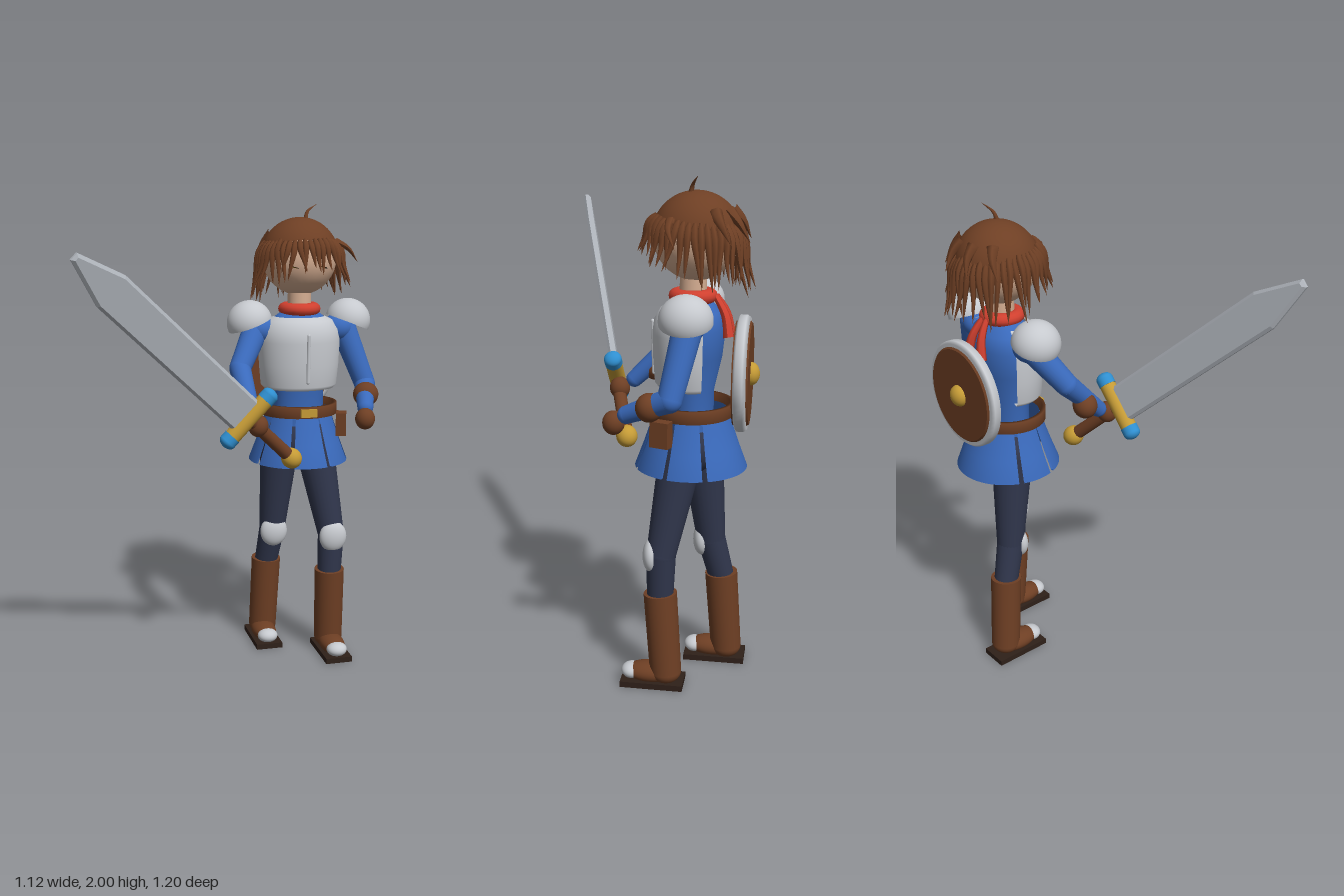
import * as THREE from 'three';

const paint = (name, color, side = THREE.FrontSide) => {
  const m = new THREE.MeshStandardMaterial({ color, side });
  m.name = name;
  return m;
};
const V = (x, y, z) => new THREE.Vector3(x, y, z);
const rad = THREE.MathUtils.degToRad;

export function createModel() {
  const DS = THREE.DoubleSide;
  const brown = paint('leatherBrown', 0x6e3f24), skin = paint('skin', 0xd6ae92);
  const blue = paint('tunicBlue', 0x3a6abc, DS), navy = paint('trouserNavy', 0x30364c);
  const silver = paint('silver', 0xc6c9ce, DS), steel = paint('bladeSteel', 0xb0b5bc);
  const gold = paint('gold', 0xc59b36), red = paint('scarfRed', 0xd0402f);
  const gem = paint('gemBlue', 0x2f8fd0), dark = paint('soleDark', 0x2e2019);

  const model = new THREE.Group();
  const YAW = 0.33; // the figure is turned slightly to its left

  const add = (parent, name, geo, mat, pos = [0, 0, 0], scale = [1, 1, 1], rot = [0, 0, 0]) => {
    const m = new THREE.Mesh(geo, mat);
    m.name = name;
    m.position.set(...pos);
    m.scale.set(...scale);
    m.rotation.set(...rot);
    parent.add(m);
    return m;
  };
  const group = (name, pos = [0, 0, 0], yaw = 0) => {
    const g = new THREE.Group();
    g.name = name;
    g.position.set(...pos);
    g.rotation.y = yaw;
    model.add(g);
    return g;
  };
  const ball = (parent, name, mat, pos, r, rot) =>
    add(parent, name, new THREE.SphereGeometry(1, 28, 18), mat, pos, Array.isArray(r) ? r : [r, r, r], rot);
  // tapered segment between two points
  const limb = (parent, name, mat, a, b, ra, rb) => {
    const A = V(...a), B = V(...b), d = B.clone().sub(A);
    const m = add(parent, name, new THREE.CylinderGeometry(rb, ra, d.length(), 24), mat, A.clone().lerp(B, 0.5).toArray());
    m.quaternion.setFromUnitVectors(V(0, 1, 0), d.normalize());
    return m;
  };
  // tube along a curve, with its radius shaped by a rule
  const taper = (points, r, rule, seg = 8, sides = 6) => {
    const curve = new THREE.CatmullRomCurve3(points);
    const geo = new THREE.TubeGeometry(curve, seg, r, sides);
    const p = geo.attributes.position, v = V(0, 0, 0);
    for (let i = 0; i < p.count; i++) {
      const t = Math.floor(i / (sides + 1)) / seg, c = curve.getPointAt(t);
      v.fromBufferAttribute(p, i).sub(c).multiplyScalar(rule(t)).add(c);
      p.setXYZ(i, v.x, v.y, v.z);
    }
    geo.computeVertexNormals();
    return geo;
  };
  const lathe = (pts, from = 0, to = 360, seg = 40) =>
    new THREE.LatheGeometry(pts.map(p => new THREE.Vector2(...p)), seg, rad(from), rad(to - from));

  // torso, neck and breastplate
  const body = group('torso', [0.205, 0, -0.325], YAW);
  add(body, 'tunic', lathe([[0.11, 1.05], [0.112, 1.2], [0.15, 1.33], [0.165, 1.44], [0.14, 1.5], [0.08, 1.545], [0.04, 1.56]]), blue, [0, 0, 0], [1, 1, 0.76]);
  add(body, 'breastplate', lathe([[0.12, 1.212], [0.155, 1.215], [0.168, 1.23], [0.176, 1.32], [0.18, 1.42], [0.172, 1.47], [0.145, 1.51], [0.11, 1.525]], -112, 112), silver, [0, 0, 0], [1, 1, 0.84]);
  add(body, 'breastplateRidge', new THREE.CapsuleGeometry(0.008, 0.2, 4, 10), silver, [0, 1.355, 0.149], [1, 1, 1], [0.03, 0, 0]);
  add(body, 'neck', new THREE.CylinderGeometry(0.05, 0.052, 0.14, 24), skin, [0, 1.58, 0]);
  add(body, 'scarf', new THREE.TorusGeometry(0.062, 0.03, 14, 32), red, [0, 1.557, 0], [1, 1, 0.9], [Math.PI / 2, 0, 0]);
  for (const s of [-1, 1]) {
    add(body, 'scarfTail', taper([V(s * 0.012, 1.56, -0.085), V(s * 0.03, 1.49, -0.125), V(s * 0.045, 1.41, -0.14)], 0.02, t => 0.6 + 0.5 * t), red);
    ball(body, 'shoulder', blue, [s * 0.175, 1.47, 0], [0.07, 0.06, 0.065]);
    // half dome shoulder guard, tipped outward
    add(body, 'shoulderGuard', new THREE.SphereGeometry(0.1, 32, 14, 0, Math.PI * 2, 0, Math.PI * 0.53), silver,
      [s * 0.222, 1.502, 0], [0.98, 0.95, 1], [0, 0, -s * 0.36]);
  }

  // belt and split skirt
  const waist = [[0.155, 1.1], [0.17, 1.1], [0.17, 1.15], [0.155, 1.15], [0.155, 1.1]];
  add(body, 'belt', lathe(waist), brown, [0, 0, 0], [1, 1, 0.95]);
  add(body, 'buckle', new THREE.BoxGeometry(0.07, 0.035, 0.02), gold, [0, 1.125, 0.162]);
  for (const [mid, half] of [[0, 20], [46, 20], [-46, 20], [90, 18], [-90, 18], [180, 66]]) {
    add(body, 'skirtPanel', lathe([[0.14, 1.12], [0.158, 1.06], [0.185, 0.98], [0.218, 0.892], [0.208, 0.892], [0.175, 0.98], [0.135, 1.1]],
      mid - half, mid + half, Math.ceil(half / 3)), blue);
  }
  ball(body, 'hips', navy, [0, 0.98, 0], [0.135, 0.12, 0.105]);
  add(model, 'beltPouch', new THREE.BoxGeometry(0.045, 0.1, 0.075), brown, [0.395, 1.06, -0.29]);

  // head, eyes and hair
  const head = group('head', [0.203, 1.775, -0.335], YAW);
  ball(head, 'face', skin, [0, 0, 0], 0.16);
  for (const s of [-1, 1]) {
    for (const [r, mat, d] of [[0.02, dark, 0.16], [0.012, gold, 0.1615]]) {
      const eye = add(head, 'eye', new THREE.CircleGeometry(r, 20), mat, [0, 0, 0], [0.85, 1.2, 1]);
      eye.position.set(Math.sin(s * 0.4) * 0.975, -0.22, Math.cos(0.4) * 0.975).multiplyScalar(d);
      eye.lookAt(eye.position.clone().multiplyScalar(2));
    }
  }
  add(head, 'hairCap', new THREE.SphereGeometry(0.169, 40, 20, 0, Math.PI * 2, 0, rad(86)), brown, [0, 0, 0], [1, 1, 1], [rad(-24), 0, 0]);
  let seed = 7;
  const rnd = () => (seed = (seed * 16807) % 2147483647) / 2147483647;
  const count = 46;
  for (let i = 0; i < count; i++) {
    const a = (i / count) * Math.PI * 2, back = (1 - Math.cos(a)) / 2;
    const top = 0.075 - 0.03 * back + 0.012 * rnd();
    const drop = 0.1 + 0.13 * Math.sqrt(back) * (0.75 + 0.35 * rnd()) + 0.035 * rnd();
    const flare = 0.195 + 0.03 * rnd(), b = a + (rnd() - 0.5) * 0.3;
    const at = (ang, r, y) => V(Math.sin(ang) * r, y, Math.cos(ang) * r);
    add(head, 'hairLock', taper([at(a, 0.15, top), at(a, 0.18, top - drop * 0.25), at((a + b) / 2, 0.192, top - drop * 0.6), at(b, flare, top - drop)],
      0.017, t => Math.min(1, 0.5 + 3 * t) * Math.pow(1 - t, 0.7) + 0.01), brown);
  }
  for (const a of [2.2, 2.75, 3.4, 4.0]) {
    const at = (r, y, k = 0) => V(Math.sin(a + k) * r, y, Math.cos(a + k) * r);
    add(head, 'hairTuft', taper([at(0.13, 0.1), at(0.172, 0.06), at(0.21, -0.01, 0.1)], 0.026, t => 1.02 - t), brown);
  }
  add(head, 'sideLock', taper([V(0.13, 0.07, 0.08), V(0.19, 0.04, 0.08), V(0.245, -0.02, 0.05)], 0.018, t => 1.02 - t), brown);
  add(model, 'crownLock', taper([V(0.228, 1.925, -0.32), V(0.233, 1.965, -0.332), V(0.272, 1.998, -0.37)], 0.011, t => 1.02 - t), brown);

  // arms: shoulder, elbow, cuff, wrist, fist
  const arms = [
    ['right', [0.02, 1.47, -0.26], [-0.035, 1.32, -0.14], [-0.015, 1.205, -0.055], [0.03, 1.155, 0.02], [0.06, 1.118, 0.072]],
    ['left', [0.395, 1.47, -0.395], [0.495, 1.225, -0.375], [0.5, 1.19, -0.295], [0.498, 1.15, -0.2], [0.497, 1.112, -0.145]],
  ];
  for (const [side, sh, el, cuff, wr, fist] of arms) {
    const g = group(side + 'Arm');
    ball(g, 'shoulderJoint', blue, sh, 0.056);
    limb(g, 'upperArm', blue, sh, el, 0.056, 0.046);
    ball(g, 'elbow', blue, el, 0.046);
    limb(g, 'forearm', blue, el, wr, 0.046, 0.034);
    ball(g, 'cuff', brown, cuff, [0.055, 0.054, 0.05]);
    ball(g, 'wrist', blue, wr, 0.034);
    ball(g, 'fist', brown, fist, [0.042, 0.046, 0.042]);
  }

  // legs: hip, knee, boot top, ankle, sole centre
  const legs = [
    ['right', [0.125, 0.97, -0.33], [0.09, 0.55, -0.365], [0.06, 0.38, -0.4], [0.043, 0.06, -0.42], [0.05, -0.372]],
    ['left', [0.275, 0.97, -0.32], [0.36, 0.56, -0.275], [0.356, 0.38, -0.27], [0.355, 0.06, -0.295], [0.37, -0.245]],
  ];
  for (const [side, hip, knee, top, ankle, sole] of legs) {
    const g = group(side + 'Leg');
    ball(g, 'hipJoint', navy, hip, 0.088);
    limb(g, 'thigh', navy, hip, knee, 0.088, 0.058);
    ball(g, 'knee', navy, knee, 0.058);
    limb(g, 'shin', navy, knee, top, 0.058, 0.052);
    ball(g, 'kneeGuard', silver, [knee[0] + 0.01, knee[1] - 0.005, knee[2] + 0.035], [0.062, 0.07, 0.036], [0, YAW, 0]);
    const rim = [top[0], top[1] + 0.015, top[2]];
    limb(g, 'boot', brown, ankle, rim, 0.063, 0.066);
    ball(g, 'heel', brown, ankle, [0.063, 0.05, 0.063]);
    const foot = group(side + 'Foot', [sole[0], 0, sole[1]], YAW);
    add(foot, 'sole', new THREE.BoxGeometry(0.12, 0.024, 0.25), dark, [0, 0.012, 0]);
    ball(foot, 'instep', brown, [0, 0.05, 0.01], [0.055, 0.042, 0.1]);
    ball(foot, 'toeCap', silver, [0, 0.05, 0.085], [0.046, 0.031, 0.042]);
  }

  // round shield on the back; its local y points away from the body
  const shield = group('shield', [0.145, 1.265, -0.508]);
  shield.quaternion.setFromUnitVectors(V(0, 1, 0), V(-0.326, 0, -0.945).normalize());
  add(shield, 'shieldRim', lathe([[0, -0.024], [0.2, -0.024], [0.222, -0.015], [0.222, 0.012], [0.212, 0.024], [0, 0.024]], 0, 360, 56), silver);
  add(shield, 'shieldFace', new THREE.CylinderGeometry(0.192, 0.2, 0.008, 56), brown, [0, 0.027, 0]);
  add(shield, 'shieldBack', new THREE.CylinderGeometry(0.198, 0.198, 0.006, 56), brown, [0, -0.026, 0]);
  ball(shield, 'shieldBoss', gold, [0, 0.03, 0], [0.045, 0.035, 0.045]);

  // sword: local y runs to the tip, x along the guard
  const sword = group('sword', [0.024, 1.155, 0.107]);
  const d = V(-0.577, 0.669, 0.477).normalize();
  const n = V(0.667, 0.706, -0.235).cross(d).normalize();
  sword.quaternion.setFromRotationMatrix(new THREE.Matrix4().makeBasis(d.clone().cross(n), d, n));
  const outline = new THREE.Shape([[-0.066, 0], [0.066, 0], [0.066, 0.81], [0.008, 0.995], [-0.008, 0.995], [-0.066, 0.81]].map(p => new THREE.Vector2(...p)));
  add(sword, 'blade', new THREE.ExtrudeGeometry(outline, { depth: 0.012, bevelThickness: 0.01, bevelSize: 0.012, bevelSegments: 1 }), steel, [0, 0, -0.006]);
  add(sword, 'guard', new THREE.CylinderGeometry(0.034, 0.034, 0.21, 24), gold, [0, 0, 0], [1, 1, 1], [0, 0, Math.PI / 2]);
  for (const s of [-1, 1]) {
    add(sword, 'guardCollar', new THREE.CylinderGeometry(0.036, 0.036, 0.03, 24), gem, [s * 0.113, 0, 0], [1, 1, 1], [0, 0, Math.PI / 2]);
    ball(sword, 'guardGem', gem, [s * 0.127, 0, 0], [0.026, 0.036, 0.036]);
  }
  limb(sword, 'grip', brown, [0, -0.28, 0], [0, -0.01, 0], 0.028, 0.026);
  ball(sword, 'pommel', gold, [0, -0.292, 0], [0.043, 0.046, 0.043]);

  return model;
}
